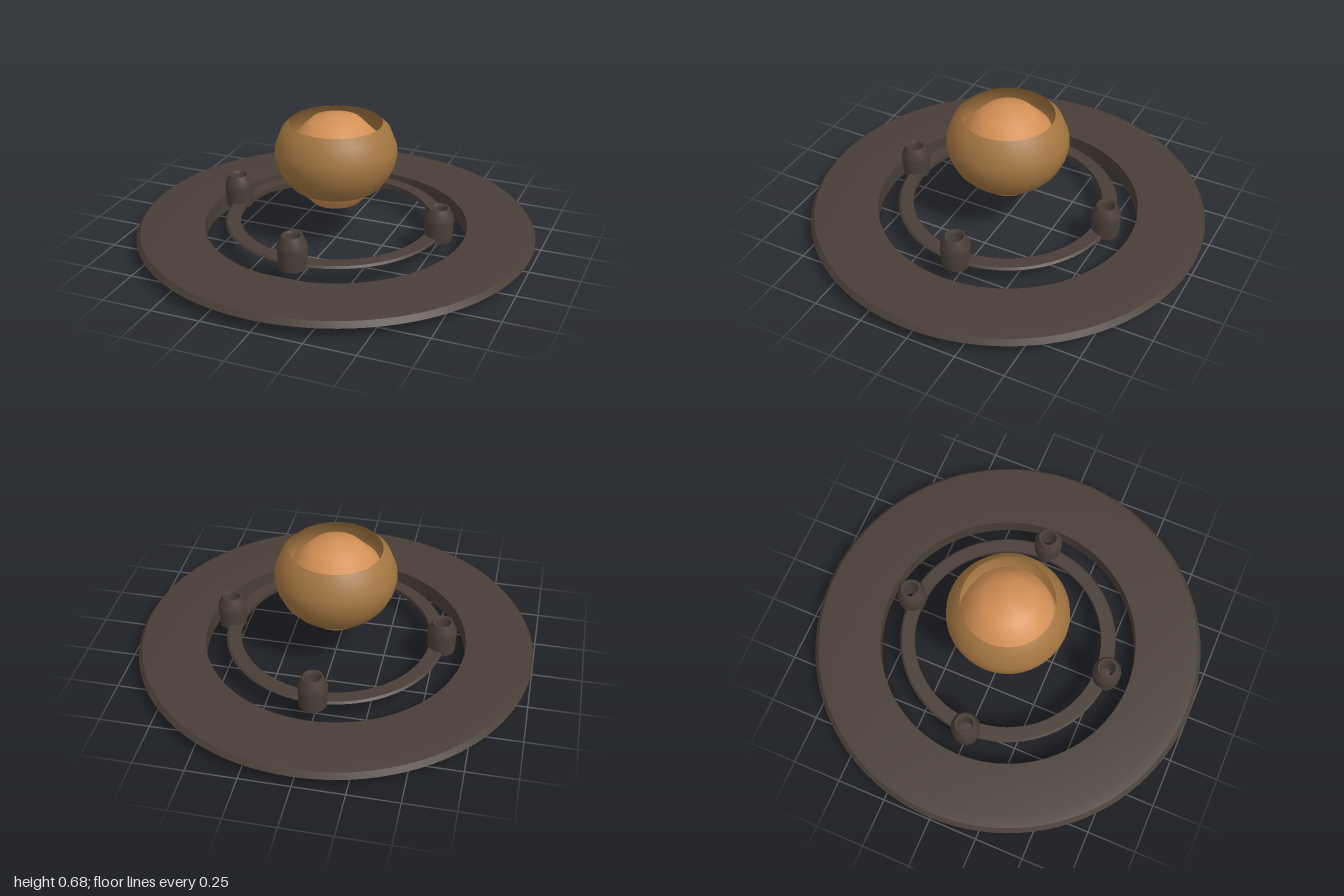
import * as THREE from 'three';
import { toCreasedNormals } from 'three/addons/utils/BufferGeometryUtils.js';

const darkMetal = new THREE.MeshStandardMaterial({ name: 'dark metal', color: 0x4a3e37 });
const bronze = new THREE.MeshStandardMaterial({ name: 'bronze', color: 0xa37540, side: THREE.DoubleSide });
const copper = new THREE.MeshStandardMaterial({ name: 'copper', color: 0xd59156 });

// Turned part from [radius, height] pairs, running up the outside
function turned(name, profile, material, segments, crease = 0.5) {
  const points = profile.map(([r, y]) => new THREE.Vector2(r, y));
  const geometry = toCreasedNormals(new THREE.LatheGeometry(points, segments), crease);
  const mesh = new THREE.Mesh(geometry, material);
  mesh.name = name;
  return mesh;
}

export function createModel() {
  const model = new THREE.Group();
  model.name = 'ringedOrb';

  // Wide base ring with a bevelled underside
  model.add(turned('baseRing', [
    [0.66, 0], [0.76, 0], [0.86, 0.018], [1, 0.062], [0.98, 0.088],
    [0.93, 0.095], [0.66, 0.095], [0.66, 0],
  ], darkMetal, 96, 0.4));

  // Slim inner ring that carries the posts
  model.add(turned('innerRing', [
    [0.48, 0.1], [0.525, 0.095], [0.555, 0.113], [0.545, 0.123],
    [0.48, 0.123], [0.48, 0.1],
  ], darkMetal, 80, 0.4));

  // Four hollow posts with tapered tops
  for (let i = 0; i < 4; i++) {
    const post = turned('post', [
      [0.042, 0.097], [0.068, 0.097], [0.073, 0.2], [0.071, 0.217], [0.05, 0.263],
      [0.042, 0.263], [0.036, 0.25], [0.042, 0.097],
    ], darkMetal, 24);
    const angle = i * Math.PI / 2;
    post.position.set(0.54 * Math.sin(angle), 0, 0.54 * Math.cos(angle));
    post.rotation.y = angle;
    model.add(post);
  }

  // Thin open shell around the core
  model.add(turned('shell', [
    [0.22, 0.302], [0.262, 0.35], [0.291, 0.41], [0.303, 0.465],
    [0.3, 0.51], [0.268, 0.592], [0.23, 0.63],
  ], bronze, 48, 1));

  // Round core
  const core = new THREE.Mesh(new THREE.SphereGeometry(0.245, 32, 6), copper);
  core.name = 'core';
  core.position.y = 0.43;
  model.add(core);

  return model;
}
